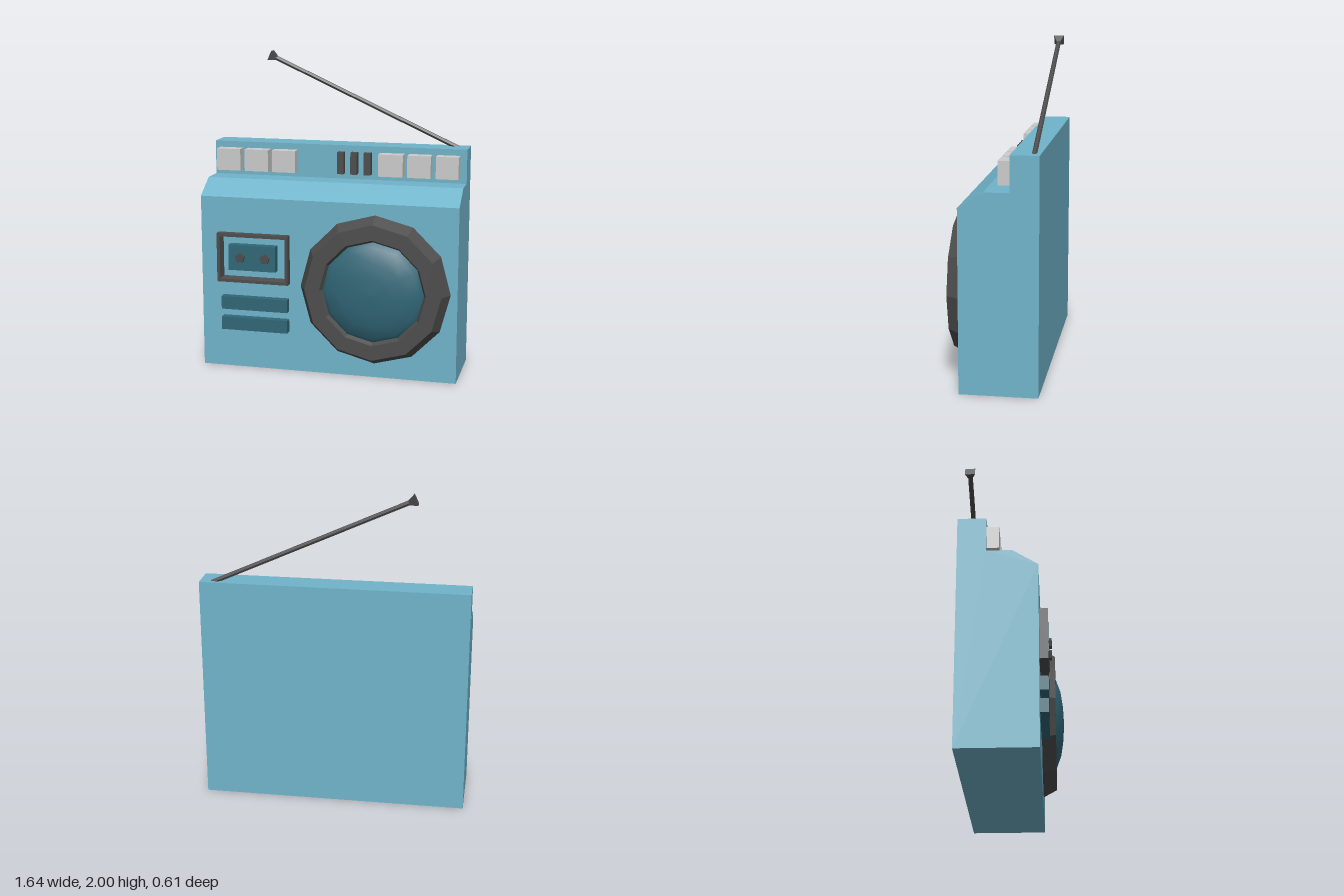
import * as THREE from 'three';

const mat = (color, flatShading = true) => new THREE.MeshStandardMaterial({ color, flatShading });
const FRONT = 0.17, LEDGE = -0.13; // z of the front panel and of the button wall

export function createModel() {
  const root = new THREE.Group();
  const teal = mat(0x70b4ca), deep = mat(0x316777), dark = mat(0x4d4d4d), grey = mat(0xcccccc);

  const add = (name, geometry, material, x = 0, y = 0, z = 0) => {
    const mesh = new THREE.Mesh(geometry, material);
    mesh.name = name;
    mesh.position.set(x, y, z);
    root.add(mesh);
    return mesh;
  };
  // Block given by its front rectangle, standing out from a wall
  const block = (name, material, x0, x1, y0, y1, z0, z1) =>
    add(name, new THREE.BoxGeometry(x1 - x0, y1 - y0, z1 - z0), material,
      (x0 + x1) / 2, (y0 + y1) / 2, (z0 + z1) / 2);
  const points = (list) => list.map(([x, y]) => new THREE.Vector2(x, y));

  // Body: side profile (z, y) extruded across the width
  const side = new THREE.Shape(points([
    [-0.3, 0], [FRONT, 0], [FRONT, 1.11], [0.02, 1.205], [LEDGE, 1.205], [LEDGE, 1.42], [-0.3, 1.42],
  ]));
  const bodyGeo = new THREE.ExtrudeGeometry(side, { depth: 1.644, bevelEnabled: false });
  bodyGeo.translate(0, 0, -0.822).rotateY(-Math.PI / 2);
  // the turn sends the profile's +x to +z
  add('body', bodyGeo, teal);

  // Large buttons and narrow switches along the upper ledge
  [[-0.79, -0.632], [-0.603, -0.447], [-0.42, -0.267], [0.273, 0.43], [0.458, 0.606], [0.638, 0.78]]
    .forEach(([a, b]) => block('button', grey, a, b, 1.24, 1.38, LEDGE - 0.01, -0.057));
  [[0.003, 0.043], [0.088, 0.13], [0.173, 0.218]]
    .forEach(([a, b]) => block('switch', dark, a, b, 1.24, 1.38, LEDGE - 0.01, -0.085));

  // Speaker: twelve-sided bevelled ring with a shallow dome
  const ring = new THREE.LatheGeometry(points([
    [0.475, 0], [0.43, 0.084], [0.335, 0.084], [0.305, 0.03], [0.305, 0],
  ]), 12).rotateX(Math.PI / 2);
  add('speakerRing', ring, dark, 0.305, 0.565, FRONT);
  const dome = new THREE.LatheGeometry(points([
    [0.325, 0.05], [0.293, 0.083], [0.205, 0.115], [0.105, 0.13], [0, 0.135],
  ]), 12).rotateX(Math.PI / 2);
  add('speakerDome', dome, mat(0x316777, false), 0.305, 0.565, FRONT);

  // Cassette door: frame with sloping inner walls, panel and two reels
  add('cassetteFrame', frameGeometry(0.465, 0.314, [[0, 0], [0, 0.05], [0.02, 0.05], [0.03, 0]]),
    dark, -0.473, 0.728, FRONT);
  block('cassettePanel', deep, -0.627, -0.32, 0.652, 0.815, FRONT - 0.01, 0.224);
  for (const x of [-0.549, -0.386]) {
    const reel = new THREE.CylinderGeometry(0.033, 0.033, 0.03, 5).rotateY(Math.PI).rotateX(Math.PI / 2);
    add('cassetteReel', reel, dark, x, 0.735, 0.224);
  }

  // Two long bars below the cassette door
  for (const y of [0.392, 0.257]) block('frontBar', deep, -0.68, -0.247, y, y + 0.083, FRONT - 0.01, 0.22);

  // Antenna: slanted rod with a flared tip
  const base = new THREE.Vector3(0.77, 1.4, -0.26), end = new THREE.Vector3(-0.475, 1.967, -0.26);
  const length = base.distanceTo(end);
  const antenna = new THREE.Group();
  antenna.name = 'antenna';
  antenna.position.copy(base);
  antenna.quaternion.setFromUnitVectors(new THREE.Vector3(0, 1, 0), end.clone().sub(base).normalize());
  const rod = new THREE.Mesh(new THREE.CylinderGeometry(0.015, 0.015, length, 6).translate(0, length / 2, 0), dark);
  rod.name = 'antennaRod';
  const tip = new THREE.Mesh(
    new THREE.CylinderGeometry(0.045, 0.018, 0.045, 4).rotateY(Math.PI / 4).translate(0, length - 0.015, 0), dark);
  tip.name = 'antennaTip';
  antenna.add(rod, tip);
  root.add(antenna);
  return root;
}

// Rectangular frame: a profile of [inset, z] pairs carried round four corners
function frameGeometry(w, h, profile) {
  const pos = [];
  const corner = (k, [inset, z]) => {
    const sx = [1, 1, -1, -1][k % 4], sy = [-1, 1, 1, -1][k % 4];
    return [sx * (w / 2 - inset), sy * (h / 2 - inset), z];
  };
  for (let k = 0; k < 4; k++) {
    for (let j = 0; j < profile.length - 1; j++) {
      const a = corner(k, profile[j]), b = corner(k + 1, profile[j]);
      const c = corner(k + 1, profile[j + 1]), d = corner(k, profile[j + 1]);
      pos.push(...a, ...b, ...c, ...a, ...c, ...d);
    }
  }
  const geo = new THREE.BufferGeometry();
  geo.setAttribute('position', new THREE.Float32BufferAttribute(pos, 3));
  geo.computeVertexNormals();
  return geo;
}
